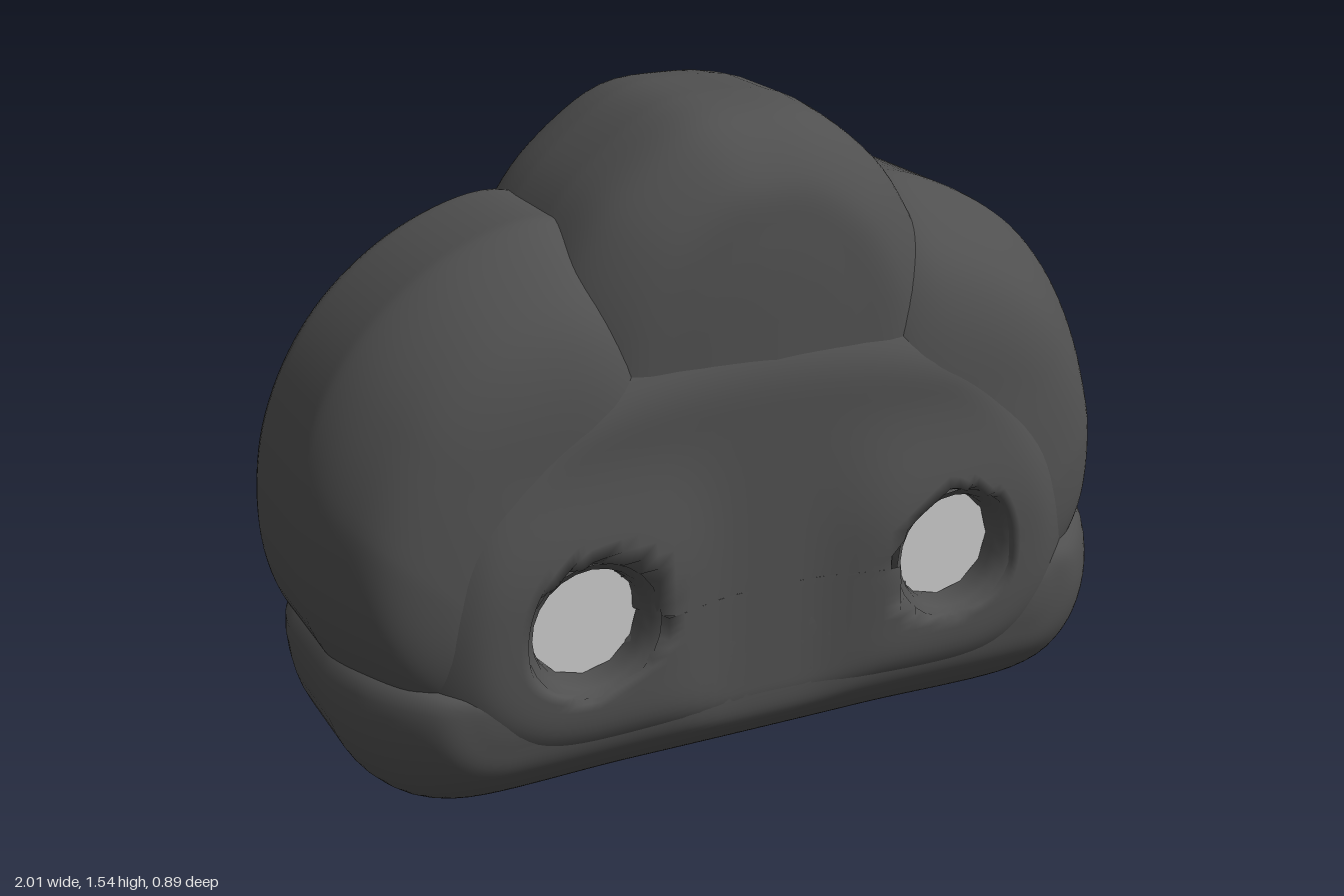
import * as THREE from 'three';

const EYES = [[-0.45, 0.475], [0.46, 0.485]];
const smooth = THREE.MathUtils.smoothstep;

// Minimum with a softened corner
function softMin(a, b, k) {
  const h = Math.max(k - Math.abs(a - b), 0) / k;
  return Math.min(a, b) - h * h * k / 4;
}

// Shapes the front face: a shallow hollow in the middle and a dent at each eye
function shapeFront(x, y, z, dent) {
  if (z <= 0) return z;
  const limit = 0.403 + 0.047 * smooth(Math.abs(x), 0.08, 0.32) * (1 - smooth(y, 0.55, 0.88));
  z = softMin(z, limit, 0.025);
  for (const [ex, ey] of EYES) {
    const d = Math.hypot(x - ex, y - ey);
    z = Math.min(z, 0.325 + 0.13 * smooth(d, dent, dent + 0.035));
  }
  return z;
}

// Puffy lobe: a closed outline (counterclockwise) shrinks towards a core segment
// as the depth profile [shrink, z] runs from back to front
function lobe(name, material, outline, core, profile, dent = 0.18) {
  const N = 112, M = 80;
  const ring = new THREE.CatmullRomCurve3(
    outline.map(([x, y]) => new THREE.Vector3(x, y, 0)), true).getSpacedPoints(N).slice(0, N);
  const steps = new THREE.CatmullRomCurve3(
    profile.map(([t, z]) => new THREE.Vector3(t * 0.4, 0, z))).getSpacedPoints(M);
  const line = new THREE.Line3(new THREE.Vector3(...core[0], 0), new THREE.Vector3(...core[1], 0));
  const near = ring.map(p => line.closestPointToPoint(p, true, new THREE.Vector3()));
  const pos = [], index = [];
  for (let i = 0; i <= M; i++) {
    const t = THREE.MathUtils.clamp(steps[i].x / 0.4, 0, 1);
    for (let j = 0; j < N; j++) {
      const p = ring[j].clone().lerp(near[j], t);
      pos.push(p.x, p.y, shapeFront(p.x, p.y, steps[i].z, dent));
      if (i < M) {
        const a = i * N + j, b = i * N + (j + 1) % N;
        index.push(a, b, b + N, a, b + N, a + N);
      }
    }
  }
  const geo = new THREE.BufferGeometry();
  geo.setAttribute('position', new THREE.Float32BufferAttribute(pos, 3));
  geo.setIndex(index);
  geo.computeVertexNormals();
  const mesh = new THREE.Mesh(geo, material);
  mesh.name = name;
  return mesh;
}

export function createModel() {
  const group = new THREE.Group();
  group.name = 'cloud';
  const dark = new THREE.MeshStandardMaterial({ color: 0x505050 });
  const rim = new THREE.MeshStandardMaterial({ color: 0x505050, side: THREE.DoubleSide });
  const pale = new THREE.MeshStandardMaterial({ color: 0xcccccc });

  // Long rounded base
  group.add(lobe('base', dark, [
    [-0.74, 0.01], [-0.3, 0.005], [0.3, 0.005], [0.79, 0.012], [0.9, 0.07], [0.975, 0.18],
    [1, 0.33], [0.955, 0.48], [0.8, 0.52], [0.4, 0.52], [0, 0.5], [-0.4, 0.45],
    [-0.8, 0.43], [-0.94, 0.4], [-0.965, 0.33], [-0.94, 0.19], [-0.86, 0.07],
  ], [[-0.64, 0.32], [0.66, 0.34]], [
    [1, -0.435], [0.75, -0.43], [0.48, -0.4], [0.13, -0.29], [0, -0.14],
    [0, 0.12], [0.13, 0.26], [0.5, 0.4], [0.75, 0.425], [1, 0.435],
  ]));

  // Broad flat body that merges the lobes at the front and back
  group.add(lobe('body', dark, [
    [-0.65, 0.11], [0, 0.1], [0.65, 0.11], [0.83, 0.25], [0.87, 0.5], [0.8, 0.75],
    [0.62, 0.96], [0.38, 1.1], [0, 1.16], [-0.38, 1.1], [-0.62, 0.96],
    [-0.8, 0.75], [-0.87, 0.5], [-0.83, 0.25],
  ], [[-0.45, 0.475], [0.46, 0.485]], [
    [1, -0.447], [0.7, -0.445], [0.4, -0.435], [0.15, -0.375], [0, -0.26],
    [0, 0.24], [0.15, 0.36], [0.4, 0.438], [0.7, 0.453], [1, 0.46],
  ], 0.125));

  // Tall middle lobe
  group.add(lobe('middleLobe', dark, [
    [-0.3, 0.12], [0.3, 0.12], [0.44, 0.3], [0.55, 0.85], [0.5, 1.14], [0.42, 1.31],
    [0.34, 1.41], [0.17, 1.525], [0.01, 1.542], [-0.13, 1.525], [-0.3, 1.41],
    [-0.39, 1.31], [-0.48, 1.14], [-0.54, 0.85], [-0.44, 0.3],
  ], [[0.01, 0.4], [0.01, 1.1]], [
    [1, -0.435], [0.6, -0.425], [0.33, -0.4], [0.08, -0.29], [0, -0.11],
    [0, 0.09], [0.08, 0.26], [0.33, 0.36], [0.6, 0.38], [1, 0.39],
  ]));

  // Side lobes
  const sideProfile = [
    [1, -0.44], [0.6, -0.43], [0.29, -0.4], [0.12, -0.31], [0, -0.17],
    [0, 0.11], [0.13, 0.26], [0.3, 0.355], [0.6, 0.405], [1, 0.42],
  ];
  group.add(lobe('leftLobe', dark, [
    [0.3, 0.14], [0.7, 0.18], [0.91, 0.4], [0.975, 0.57], [0.955, 0.88], [0.82, 1.12],
    [0.6, 1.27], [0.4, 1.32], [0.29, 1.24], [0.22, 1.06], [0.18, 0.7], [0.2, 0.3],
  ], [[0.61, 0.48], [0.48, 0.64]], sideProfile));
  group.add(lobe('rightLobe', dark, [
    [-0.2, 0.3], [-0.18, 0.7], [-0.2, 1.06], [-0.27, 1.23], [-0.41, 1.31], [-0.64, 1.25],
    [-0.86, 1.07], [-0.985, 0.82], [-0.998, 0.52], [-0.91, 0.33], [-0.7, 0.18], [-0.3, 0.14],
  ], [[-0.61, 0.48], [-0.48, 0.64]], sideProfile));

  // Recessed eyes with flared sockets
  const flare = [[0.13, 0.34], [0.132, 0.39], [0.14, 0.42], [0.158, 0.435]];
  const socketGeo = new THREE.LatheGeometry(flare.map(p => new THREE.Vector2(...p)), 24).rotateX(Math.PI / 2);
  const eyeGeo = new THREE.CircleGeometry(0.131, 12);
  EYES.forEach(([x, y], i) => {
    const side = i ? 'left' : 'right';
    const socket = new THREE.Mesh(socketGeo, rim);
    socket.name = side + 'EyeSocket';
    socket.position.set(x, y, 0);
    const eye = new THREE.Mesh(eyeGeo, pale);
    eye.name = side + 'Eye';
    eye.position.set(x, y, 0.36);
    group.add(socket, eye);
  });
  return group;
}
